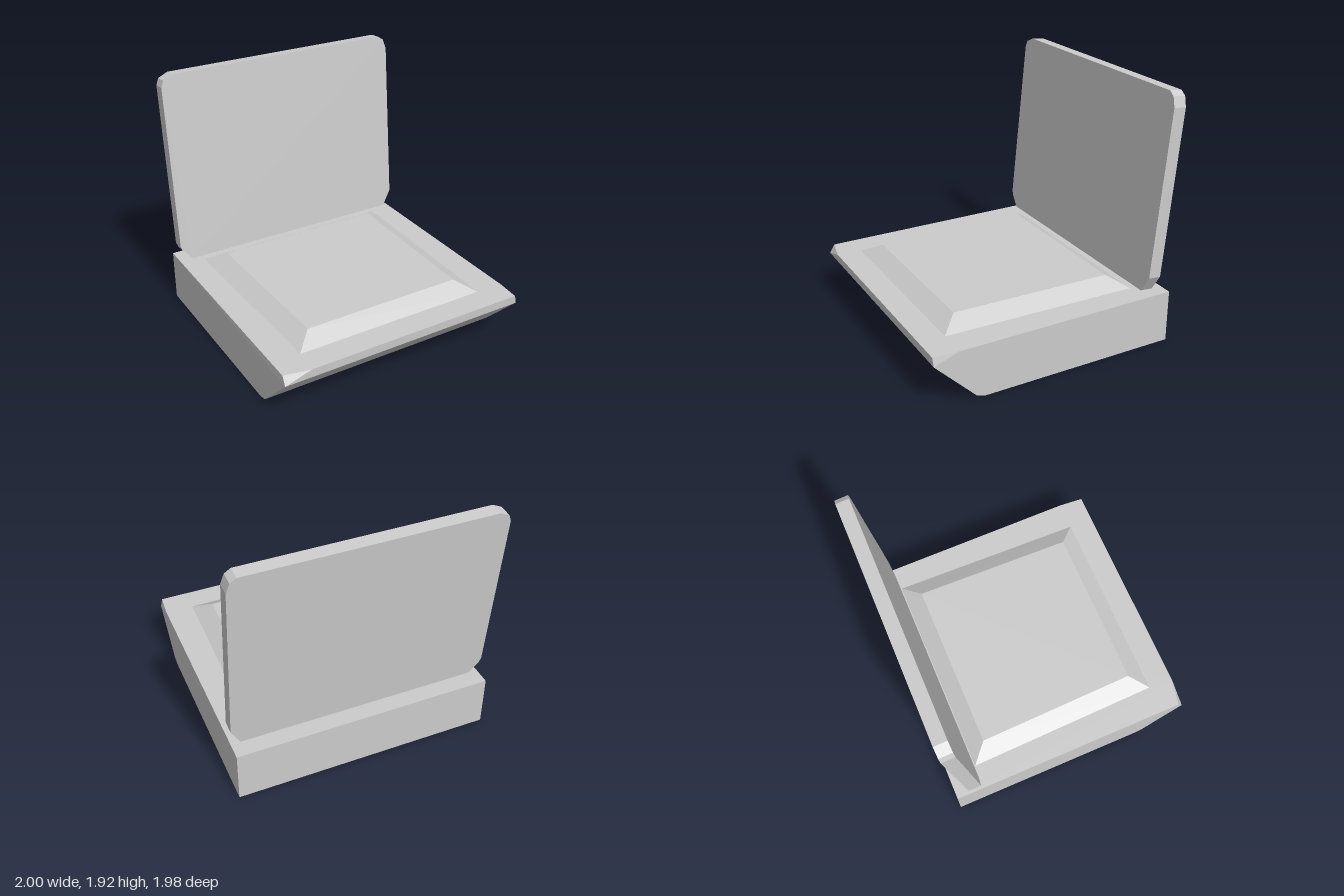
import * as THREE from 'three';
import { ConvexGeometry } from 'three/addons/geometries/ConvexGeometry.js';

const material = new THREE.MeshStandardMaterial({ color: 0xcccccc, flatShading: true });

function addPart(parent, name, geometry) {
  const mesh = new THREE.Mesh(geometry, material);
  mesh.name = name;
  parent.add(mesh);
  return mesh;
}

// Faceted solid around a few corner points
function hull(points) {
  return new ConvexGeometry(points.map(p => new THREE.Vector3(...p)));
}

export function createModel() {
  const model = new THREE.Group();
  model.name = 'openLaptop';
  const body = new THREE.Group();
  body.name = 'body';
  body.rotation.y = -0.018; // the whole machine sits slightly askew
  model.add(body);

  // Wedge-fronted base: mirrored side profile plus trimmed top front corners
  const w = 0.983;
  const profile = [[0, -0.95], [0, 0.585], [0.018, 0.65], [0.337, 0.967], [0.403, -0.95]];
  const basePoints = [];
  for (const [y, z] of profile) basePoints.push([-w, y, z], [w, y, z]);
  basePoints.push(
    [-0.981, 0.403, 0.928], [-0.783, 0.403, 0.97],
    [w, 0.403, 0.783], [0.968, 0.403, 0.97]
  );
  addPart(body, 'base', hull(basePoints));

  // Raised deck with sloping borders, slightly wider at the back
  const deckPoints = [];
  for (const s of [-1, 1]) {
    deckPoints.push(
      [s * 0.77, 0.4, 0.783], [s * 0.805, 0.4, -0.737],
      [s * 0.63, 0.483, 0.645], [s * 0.66, 0.483, -0.602]
    );
  }
  addPart(body, 'keyboardDeck', hull(deckPoints));

  // Screen lid: clipped-corner slab leaning back
  const outline = [
    [-0.895, 0], [0.915, 0], [0.985, 0.125], [0.985, 1.39], [0.96, 1.465], [0.915, 1.496],
    [-0.89, 1.496], [-0.965, 1.461], [-0.985, 1.41], [-0.985, 0.125], [-0.97, 0.085]
  ];
  const shape = new THREE.Shape(outline.map(p => new THREE.Vector2(...p)));
  const lidGeometry = new THREE.ExtrudeGeometry(shape, { depth: 0.1, bevelEnabled: false });
  lidGeometry.translate(0, 0, -0.1);
  const lid = addPart(body, 'screenLid', lidGeometry);
  lid.position.set(0, 0.435, -0.741);
  lid.rotation.x = -0.09;

  return model;
}
